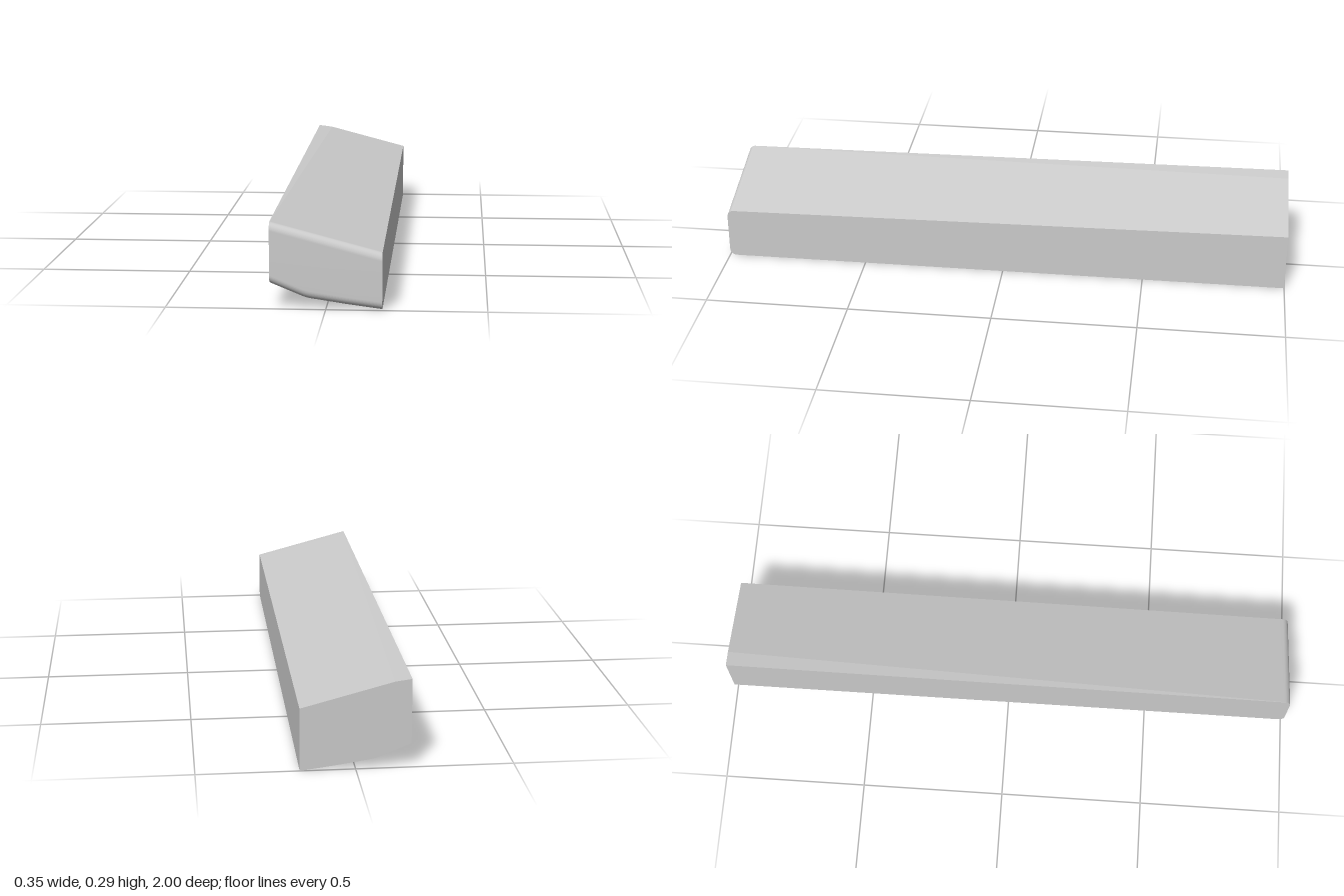
import * as THREE from 'three';
import { toCreasedNormals } from 'three/addons/utils/BufferGeometryUtils.js';

const HALF = 0.175; // half width
const SLOPE = -0.263; // fall of the top from left to right

// Underside profile from x- to x+, softly bent near x = -0.06
const UNDERSIDE = [
  [-HALF, 0.08], [-0.078, 0.04], [-0.068, 0.0362], [-0.06, 0.0338], [-0.05, 0.0315],
  [0.06, 0.015], [HALF, 0],
];

// Counter-clockwise outline at depth z; inset trims top and bottom for the rounded front
function section(z, inset) {
  const t = (1 - z) / 2; // 0 at the front, 1 at the back
  const rightTop = 0.18 + 0.025 * t;
  const kinkX = -HALF + 0.001 + 0.052 * t; // crease runs diagonally from the front corner
  const kinkY = rightTop + SLOPE * (kinkX - HALF);
  const leftTop = kinkY + 0.132 * (kinkX + HALF);
  return [
    ...UNDERSIDE.map(([x, y]) => [x, y + inset, z]),
    [HALF, rightTop - inset, z],
    [kinkX, kinkY - inset, z],
    [-HALF, leftTop - inset, z],
  ];
}

function barGeometry() {
  // Straight length, then a quarter-round onto the front face
  const rings = [-1, 0, 0.94, 0.977].map((z) => section(z, 0));
  const steps = 24;
  for (let i = 1; i <= steps; i++) {
    const a = (i / steps) * Math.PI / 2;
    rings.push(section(0.978 + 0.022 * Math.sin(a), 0.026 * (1 - Math.cos(a))));
  }

  const n = rings[0].length;
  const index = [];
  for (let r = 0; r < rings.length - 1; r++) {
    for (let i = 0; i < n; i++) {
      const j = (i + 1) % n;
      const a = r * n + i, b = r * n + j, c = a + n, d = b + n;
      index.push(a, b, d, a, d, c);
    }
  }
  // Back and front ends
  const last = (rings.length - 1) * n;
  for (let i = 1; i < n - 1; i++) {
    index.push(0, i + 1, i, last, last + i, last + i + 1);
  }

  const geometry = new THREE.BufferGeometry();
  geometry.setAttribute('position', new THREE.Float32BufferAttribute(rings.flat(2), 3));
  geometry.setIndex(index);
  return toCreasedNormals(geometry, THREE.MathUtils.degToRad(6));
}

export function createModel() {
  const group = new THREE.Group();
  const bar = new THREE.Mesh(barGeometry(), new THREE.MeshStandardMaterial({ color: 0xcccccc }));
  bar.name = 'bevelledBar';
  group.add(bar);
  return group;
}
